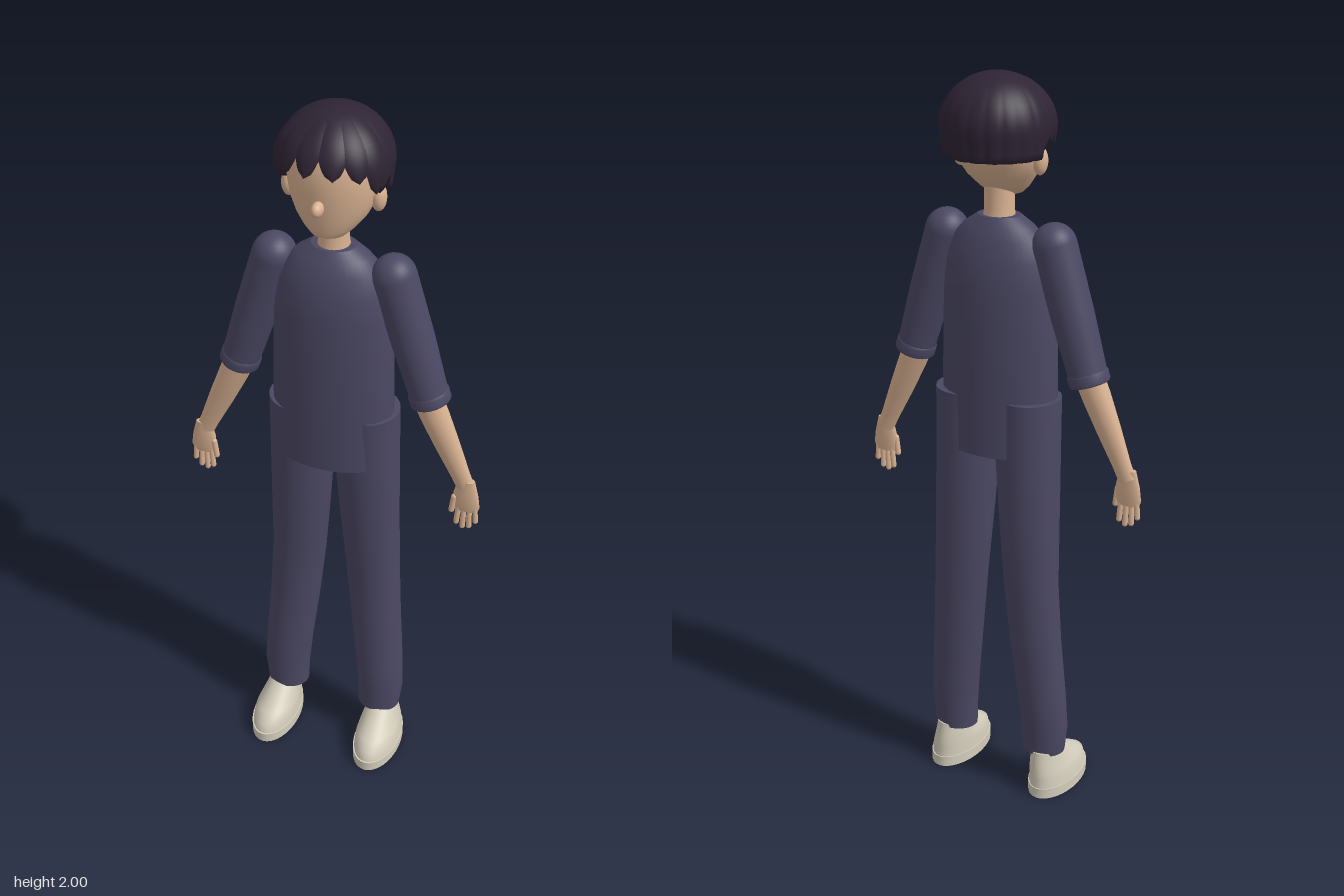
import * as THREE from 'three';

const mat = (name, color, side = THREE.FrontSide) => {
  const m = new THREE.MeshStandardMaterial({ color, side });
  m.name = name;
  return m;
};

// Smooth surface from rows of points; closed around (wrap) with optional flat end caps
function surface(rows, cols, point, wrap = true, caps = false) {
  const pos = [], idx = [];
  for (let i = 0; i < rows; i++)
    for (let j = 0; j < cols; j++) pos.push(...point(i, j));
  for (let i = 0; i < rows - 1; i++)
    for (let j = 0; j < (wrap ? cols : cols - 1); j++) {
      const k = (j + 1) % cols, a = i * cols, b = a + cols;
      idx.push(a + j, a + k, b + k, a + j, b + k, b + j);
    }
  if (caps)
    for (const i of [0, rows - 1]) {
      const base = pos.length / 3, mid = [0, 0, 0];
      for (let j = 0; j < cols; j++) {
        const p = point(i, j);
        pos.push(...p);
        p.forEach((v, n) => (mid[n] += v / cols));
      }
      pos.push(...mid);
      for (let j = 0; j < cols; j++) {
        const k = (j + 1) % cols;
        idx.push(base + cols, base + (i ? j : k), base + (i ? k : j));
      }
    }
  const g = new THREE.BufferGeometry();
  g.setAttribute('position', new THREE.Float32BufferAttribute(pos, 3));
  g.setIndex(idx);
  g.computeVertexNormals();
  return g;
}

// Loft of oval rings, bottom to top: [centre x, y, front z, back z, half width]
function loft(rings, n = 32) {
  return surface(rings.length, n, (i, j) => {
    const [x, y, zf, zb, rx] = rings[i], a = (j / n) * Math.PI * 2;
    return [x + rx * Math.sin(a), y, (zf + zb) / 2 + ((zf - zb) / 2) * Math.cos(a)];
  }, true, true);
}

// Radius of the hair dome at a given height
const HAIR_Z = -0.025;
const hairRadius = (y) => y > 1.87
  ? 0.143 * Math.sqrt(Math.max(0, 1 - ((y - 1.87) / 0.13) ** 2))
  : 0.143 - 0.008 * ((1.87 - y) / 0.07);

// Height of the cap's hem by angle from the front (degrees)
const HEM = [[0, 1.925], [56, 1.91], [72, 1.815], [84, 1.845], [94, 1.8], [180, 1.8]];
function hemAt(deg) {
  const d = Math.abs(deg), k = Math.max(1, HEM.findIndex((h) => h[0] >= d));
  const [a, b] = [HEM[k - 1], HEM[k]];
  return a[1] + ((b[1] - a[1]) * (d - a[0])) / (b[0] - a[0]);
}

function hairCap() {
  const n = 120, rows = 18;
  return surface(rows + 1, n, (i, j) => {
    const deg = (j / n) * 360 - 180, a = THREE.MathUtils.degToRad(deg);
    const v = i === 0 ? 1 : 1 - (i - 1) / (rows - 1);
    const hem = hemAt(deg);
    const y = 2 - (2 - hem) * (1 - Math.cos(v * Math.PI / 2));
    const strands = 1 - 0.035 * v * v * Math.abs(Math.cos(a * 10)) ** 8;
    const r = hairRadius(y) * strands * (i === 0 ? 0.8 : 1);
    return [r * Math.sin(a), y, HAIR_Z + r * Math.cos(a)];
  });
}

// Pointed lock lying over the dome, from the crown to its tip
function hairLock(deg, tip, halfWidth) {
  const rows = 14, cols = 9;
  return surface(rows, cols, (i, j) => {
    const v = 1 - i / (rows - 1), u = (j / (cols - 1)) * 2 - 1;
    const w = halfWidth * (v < 0.6 ? 1 : Math.sqrt((1 - v) / 0.4));
    const a = THREE.MathUtils.degToRad(deg + u * w);
    const y = 1.985 - (1.985 - tip) * v ** 1.4;
    const r = hairRadius(y) * (1.005 + 0.04 * (1 - u * u));
    return [r * Math.sin(a), y, HAIR_Z + r * Math.cos(a)];
  }, false);
}

export function createModel() {
  const model = new THREE.Group();
  model.name = 'standingFigure';
  const skin = mat('skin', 0xd9b292);
  const cloth = mat('navy cloth', 0x4b4863);
  const hair = mat('dark hair', 0x2e2434, THREE.DoubleSide);
  const shoe = mat('pale shoe', 0xd2ccba);

  const add = (parent, name, geo, material, p = [0, 0, 0], s = [1, 1, 1]) => {
    const m = new THREE.Mesh(geo, material);
    m.name = name;
    m.position.set(...p);
    m.scale.set(...s);
    parent.add(m);
    return m;
  };
  const ball = new THREE.SphereGeometry(1, 24, 16);

  // Head
  const head = new THREE.Group();
  head.name = 'head';
  model.add(head);
  add(head, 'face', loft([
    [0, 1.69, 0.055, -0.005, 0.026], [0, 1.697, 0.066, -0.022, 0.045], [0, 1.715, 0.072, -0.046, 0.066],
    [0, 1.745, 0.078, -0.078, 0.09], [0, 1.78, 0.083, -0.105, 0.107], [0, 1.82, 0.087, -0.122, 0.115],
    [0, 1.87, 0.088, -0.13, 0.117], [0, 1.92, 0.075, -0.12, 0.105], [0, 1.96, 0.04, -0.08, 0.07],
  ]), skin);
  add(head, 'nose', ball, skin, [0, 1.79, 0.1], [0.015, 0.019, 0.022]);
  for (const s of [1, -1])
    add(head, s > 0 ? 'leftEar' : 'rightEar', ball, skin, [s * 0.114, 1.79, -0.01], [0.019, 0.036, 0.022]);
  add(head, 'neck', loft([
    [0, 1.62, 0.032, -0.058, 0.044], [0, 1.66, 0.025, -0.05, 0.039], [0, 1.74, 0.025, -0.05, 0.039],
  ]), skin);

  // Hair
  add(head, 'hairCap', hairCap(), hair);
  for (const [deg, tip, w] of [[62, 1.825, 15], [42, 1.865, 16], [17, 1.875, 16],
    [-10, 1.875, 15], [-36, 1.865, 16], [-62, 1.825, 15]])
    add(head, 'fringeLock', hairLock(deg, tip, w), hair);

  // Shirt
  add(model, 'shirt', loft([
    [0, 1.02, 0.09, -0.113, 0.162], [0, 1.2, 0.095, -0.115, 0.163], [0, 1.35, 0.095, -0.115, 0.16],
    [0, 1.47, 0.095, -0.115, 0.154], [0, 1.54, 0.086, -0.105, 0.144], [0, 1.59, 0.07, -0.09, 0.125],
    [0, 1.62, 0.054, -0.076, 0.096], [0, 1.645, 0.036, -0.06, 0.058],
  ], 40), cloth);

  for (const s of [1, -1]) {
    const side = s > 0 ? 'left' : 'right';

    // Trouser leg
    add(model, side + 'TrouserLeg', loft([
      [0.143, 0.125, 0.042, -0.066, 0.061], [0.146, 0.2, 0.044, -0.072, 0.067], [0.139, 0.3, 0.043, -0.08, 0.069],
      [0.122, 0.48, 0.035, -0.09, 0.073], [0.109, 0.65, 0.034, -0.097, 0.077], [0.1, 0.82, 0.05, -0.102, 0.082],
      [0.092, 1.0, 0.062, -0.104, 0.087], [0.09, 1.175, 0.07, -0.105, 0.087],
    ].map(([x, ...r]) => [s * x, ...r])), cloth);

    // Shoe
    add(model, side + 'Sole', loft([
      [0.161, 0, 0.165, -0.085, 0.066], [0.161, 0.03, 0.165, -0.085, 0.066],
    ].map(([x, ...r]) => [s * x, ...r])), shoe);
    add(model, side + 'ShoeUpper', loft([
      [0.161, 0.03, 0.16, -0.082, 0.063], [0.16, 0.058, 0.153, -0.081, 0.06], [0.158, 0.075, 0.125, -0.08, 0.055],
      [0.156, 0.1, 0.085, -0.077, 0.047], [0.154, 0.135, 0.035, -0.07, 0.039],
    ].map(([x, ...r]) => [s * x, ...r])), shoe);

    // Sleeve with rounded shoulder and turned cuff
    const upper = new THREE.Group();
    upper.name = side + 'Sleeve';
    upper.position.set(s * 0.157, 1.584, -0.01);
    upper.rotation.z = s * 0.3;
    model.add(upper);
    const ring = (y, r) => [0, y, r, -r, r];
    const dome = [];
    for (let i = 0; i <= 8; i++) {
      const a = (i / 8) * 1.5;
      dome.push(ring(0.057 * Math.sin(a), 0.057 * Math.cos(a)));
    }
    add(upper, 'sleeve', loft([ring(-0.355, 0.05), ring(-0.18, 0.056), ...dome]), cloth);
    add(upper, 'cuff', loft([ring(-0.362, 0.051), ring(-0.358, 0.054), ring(-0.335, 0.054), ring(-0.33, 0.05)]), cloth);

    // Forearm
    const fore = add(model, side + 'Forearm', loft([
      [0, -0.272, 0.015, -0.014, 0.025], [0, -0.23, 0.017, -0.016, 0.026], [0, -0.13, 0.026, -0.024, 0.034],
      [0, -0.04, 0.033, -0.031, 0.039], [0, 0.03, 0.034, -0.032, 0.04],
    ], 24), skin, [s * 0.262, 1.24, -0.002]);
    fore.rotation.z = s * 0.42;

    // Hand with fingers and thumb
    const hand = new THREE.Group();
    hand.name = side + 'Hand';
    hand.position.set(s * 0.373, 1.0, 0);
    model.add(hand);
    add(hand, 'palm', loft([
      [s * 0.003, -0.078, 0.009, -0.008, 0.03], [s * 0.003, -0.06, 0.012, -0.01, 0.036],
      [0, -0.025, 0.014, -0.012, 0.034], [0, 0.02, 0.013, -0.012, 0.022],
    ], 20), skin);
    [0.075, 0.085, 0.08, 0.06].forEach((len, i) => {
      const f = add(hand, 'finger', new THREE.CapsuleGeometry(0.0075, len - 0.015, 4, 10), skin,
        [s * (-0.02 + i * 0.016), -0.055 - len / 2, 0.001]);
      f.rotation.z = s * (i - 1.5) * 0.05;
    });
    const thumb = add(hand, 'thumb', new THREE.CapsuleGeometry(0.008, 0.045, 4, 10), skin, [s * -0.033, -0.06, 0.005]);
    thumb.rotation.z = s * -0.12;
  }
  return model;
}
